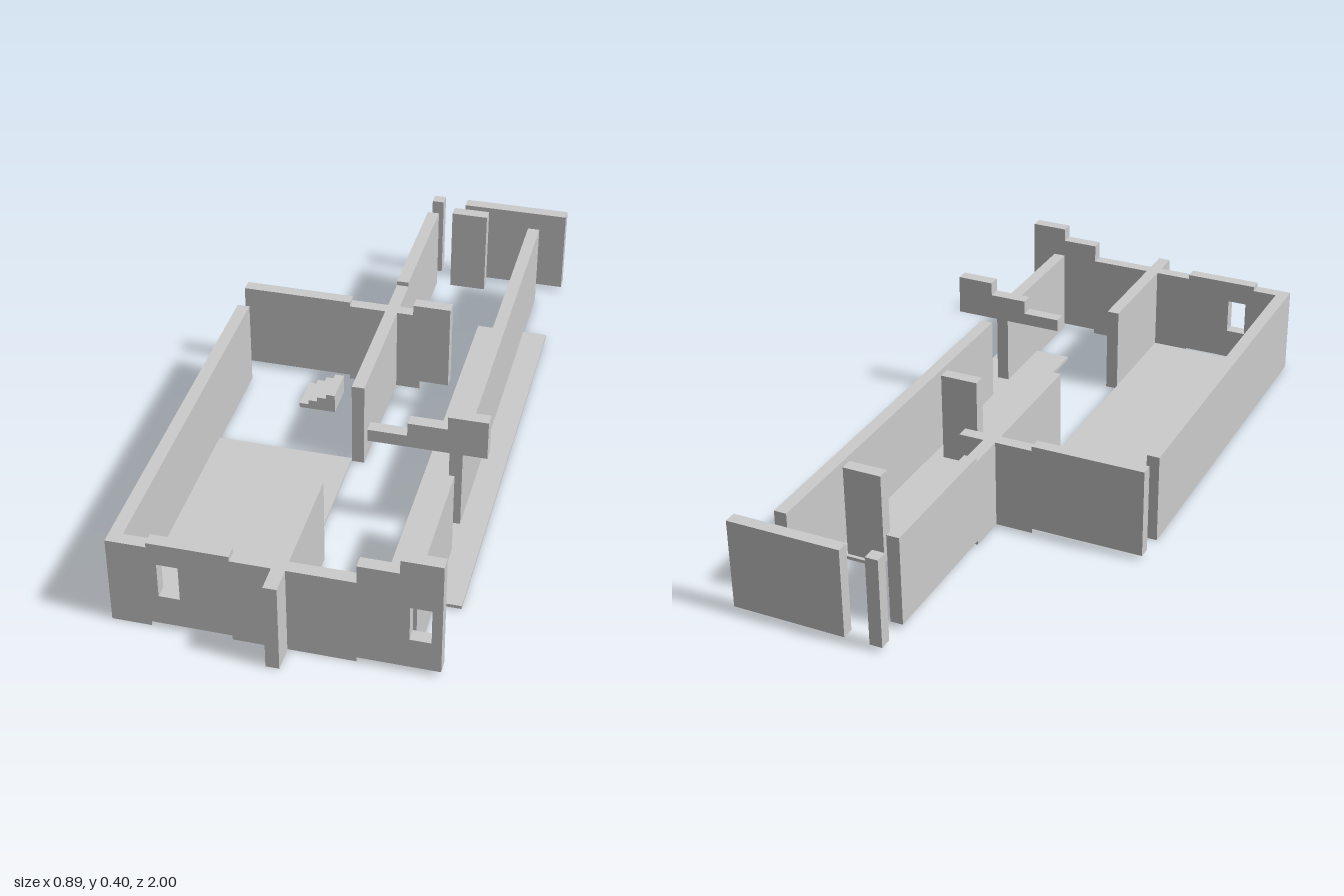
import * as THREE from 'three';

const T = 0.037; // wall thickness
const LIFT = 0.014; // raised wall sections
const H = 0.267; // wall height

export function createModel() {
  const group = new THREE.Group();
  const material = new THREE.MeshStandardMaterial({ color: 0xcccccc, flatShading: true });

  const add = (name, geometry) => {
    const mesh = new THREE.Mesh(geometry, material);
    mesh.name = name;
    group.add(mesh);
    return mesh;
  };

  // Box given by its limits on each axis
  const box = (name, x0, x1, y0, y1, z0, z1) => {
    const mesh = add(name, new THREE.BoxGeometry(x1 - x0, y1 - y0, z1 - z0));
    mesh.position.set((x0 + x1) / 2, (y0 + y1) / 2, (z0 + z1) / 2);
  };

  // Flat wall cut from an outline in x and y, with rectangular openings
  const panel = (name, outline, z, openings = []) => {
    const shape = new THREE.Shape(outline.map(([x, y]) => new THREE.Vector2(x, y)));
    for (const [x0, x1, y0, y1] of openings) {
      shape.holes.push(new THREE.Path([[x0, y0], [x0, y1], [x1, y1], [x1, y0]]
        .map(([x, y]) => new THREE.Vector2(x, y))));
    }
    add(name, new THREE.ExtrudeGeometry(shape, { depth: T, bevelEnabled: false })).position.z = z;
  };

  // Front wall with raised sections, stepped top and two windows
  panel('frontWall', [
    [-0.444, 0], [-0.333, 0], [-0.333, LIFT], [-0.111, LIFT], [-0.111, 0],
    [0.222, 0], [0.222, LIFT], [0.444, LIFT], [0.444, 0.362], [0.333, 0.362],
    [0.333, 0.321], [0.222, 0.321], [0.222, H], [-0.111, H], [-0.111, H + LIFT],
    [-0.333, H + LIFT], [-0.333, H], [-0.444, H],
  ], 0.888, [[-0.308, -0.25, 0.107, 0.214], [0.36, 0.417, 0.107, 0.214]]);

  // Stepped beam above the gap in the side wall
  panel('steppedBeam', [
    [0.111, 0.284], [0.444, 0.284], [0.444, 0.402], [0.333, 0.402], [0.333, 0.362],
    [0.222, 0.362], [0.222, 0.321], [0.111, 0.321],
  ], 0.333);

  // Cross wall with a raised outer section
  panel('crossWall', [
    [-0.444, LIFT], [-0.111, LIFT], [-0.111, 0], [0.111, 0], [0.111, H],
    [-0.111, H], [-0.111, H + LIFT], [-0.444, H + LIFT],
  ], -0.333);

  // Lengthwise walls
  box('rightWall', -0.444, -0.444 + T, 0, H, -0.222, 0.888);
  box('middleWallFront', 0, T, 0, H, 0.555, 1);
  box('middleWall', 0, T, 0, H, -0.45, 0.111);
  box('middleWallBack', 0, T, LIFT, H + LIFT, -0.889, -0.45);
  box('leftWallFront', 0.333, 0.333 + T, 0, H, 0.444, 0.888);
  box('leftWall', 0.333, 0.333 + T, 0, H, -0.889, 0.333);

  // Rear end pieces
  box('rearPost', 0, T, LIFT, H + LIFT, -1, -1 + T);
  box('rearPanel', 0.111, 0.444, LIFT, H + LIFT, -1, -1 + T);

  // Raised short panels in the corridor
  for (const z of [-0.778, -0.222]) box('hangingPanel', 0.111, 0.222, 0.107, 0.374, z, z + T);

  // Floor slabs
  box('roomFloor', -0.407, 0, 0.003, 0.01, 0.111, 0.888);
  box('sideFloor', 0.222, 0.444, 0.003, 0.013, -0.667, 0.667);

  // Small flight of steps
  const tread = 0.111 / 4;
  for (let i = 0; i < 4; i++) {
    const x = -0.222 + i * tread;
    box('step', x, x + tread, 0, 0.015 * (i + 1), -0.222, -0.111);
  }
  return group;
}
